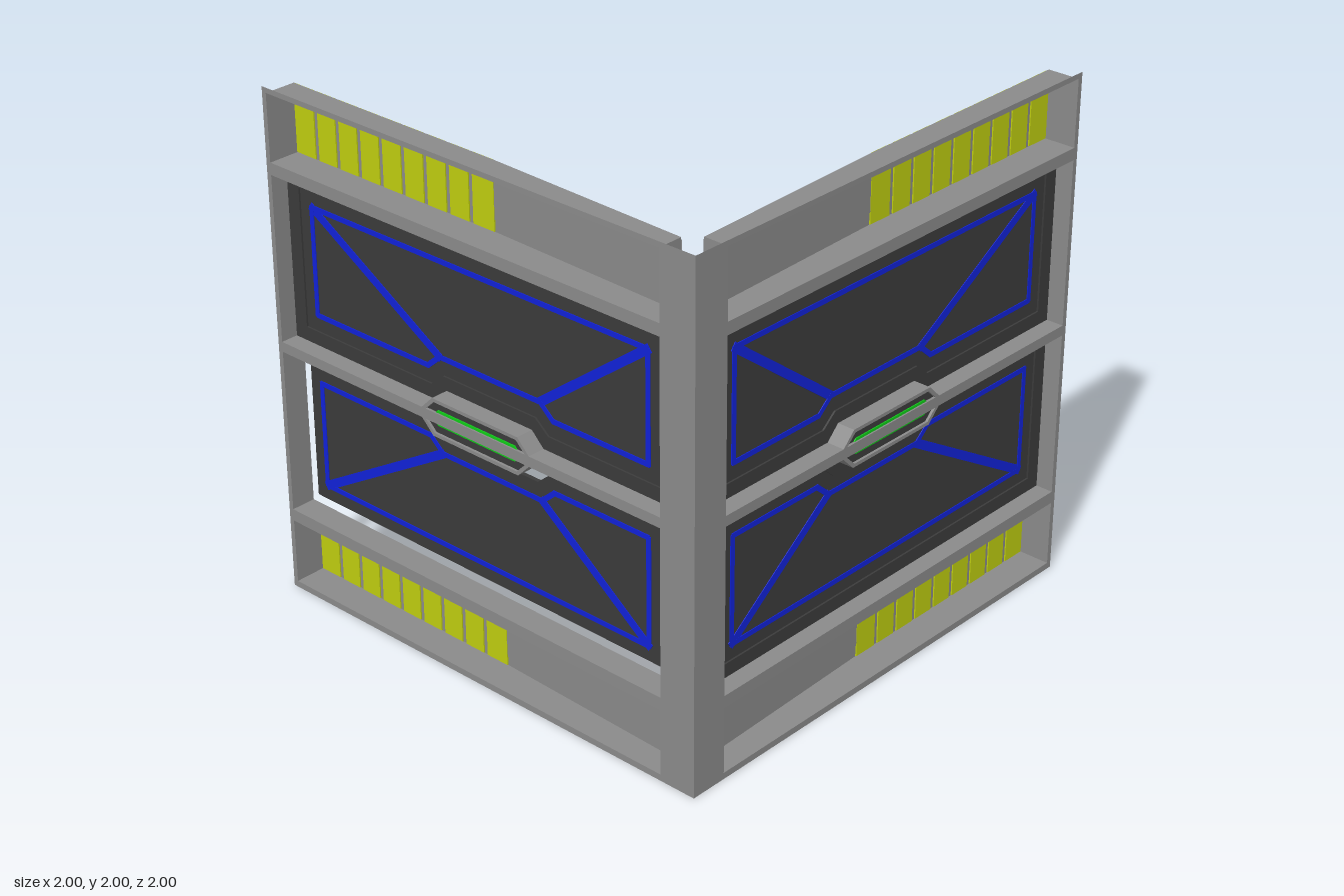
import * as THREE from 'three';

const mat = (name, color, side = THREE.FrontSide) => {
  const m = new THREE.MeshStandardMaterial({ color, side });
  m.name = name;
  return m;
};
const V = (pts) => pts.map(([x, y]) => new THREE.Vector2(x, y));
const rect = (x0, x1, y0, y1) => [[x0, y0], [x1, y0], [x1, y1], [x0, y1]];

// flat plate between two depths, with optional holes
function plate(outline, z0, z1, holes = []) {
  const shape = new THREE.Shape(V(outline));
  for (const h of holes) shape.holes.push(new THREE.Path(V(h)));
  const g = new THREE.ExtrudeGeometry(shape, { depth: z1 - z0, bevelEnabled: false });
  return g.translate(0, 0, z0);
}

// open sheet made of four-cornered faces
function quads(list) {
  const p = [];
  for (const [a, b, c, d] of list) p.push(...a, ...b, ...c, ...a, ...c, ...d);
  const g = new THREE.BufferGeometry();
  g.setAttribute('position', new THREE.Float32BufferAttribute(p, 3));
  g.computeVertexNormals();
  return g;
}

// straight bar of given width between two points
function bar(a, b, w, z0, z1) {
  const dx = b[0] - a[0], dy = b[1] - a[1], len = Math.hypot(dx, dy);
  const g = new THREE.BoxGeometry(len + w * 0.5, w, z1 - z0);
  g.rotateZ(Math.atan2(dy, dx));
  return g.translate((a[0] + b[0]) / 2, (a[1] + b[1]) / 2, (z0 + z1) / 2);
}

const octagon = (x, y, cx) => [
  [-x, 0], [-cx, -y], [cx, -y], [x, 0], [cx, y], [-cx, y]];
const rimShape = (x, y, cx, cy) => [
  [-x, -cy], [-cx, -y], [cx, -y], [x, -cy], [x, cy], [cx, y], [-cx, y], [-x, cy]];
const lift = (pts, dy) => pts.map(([x, y]) => [x, y + dy]);

const L = -0.85, R = 0.98, MID = 1.003;
const beams = [[0.025, 0.285], [1.72, 1.98]];
const panels = [[0.333, 0.983], [1.023, 1.673]];

export function createModel() {
  const grey = mat('grey metal', 0x8a8a8a, THREE.DoubleSide);
  const dark = mat('dark panel', 0x3b3b3b);
  const yellow = mat('yellow stripe', 0xbecd10);
  const blue = mat('blue line', 0x1122d8);
  const green = mat('green light', 0x10cc18);
  const model = new THREE.Group();

  function buildWall(name, turned) {
    const wall = new THREE.Group();
    wall.name = name;
    model.add(wall);

    // the second wall is the first one reflected over the corner diagonal
    const add = (part, geometry, material) => {
      let g = geometry;
      if (turned) {
        g = g.index ? g.toNonIndexed() : g;
        const p = g.attributes.position, c = p.clone();
        for (let i = 0; i < p.count; i++) {
          const j = i % 3 === 0 ? i : i % 3 === 1 ? i + 1 : i - 1;
          p.setXYZ(i, -c.getZ(j), c.getY(j), -c.getX(j));
        }
        g.computeVertexNormals();
      }
      const mesh = new THREE.Mesh(g, material);
      mesh.name = part;
      wall.add(mesh);
    };

    // outer skin with an opening for each bay
    const skin = new THREE.Shape(V(rect(-1, 1, 0, 2)));
    for (const [a, b] of [...beams, ...panels]) {
      skin.holes.push(new THREE.Path(V(rect(L, R, a, b))));
    }
    add('outerSkin', new THREE.ShapeGeometry(skin).translate(0, 0, 1), grey);

    // beam bays: sides and a back that slopes up to the striped half
    for (const [a, b] of beams) {
      const loop = [[L, a, 0.9], [0, a, 0.873], [R, a, 0.873], [R, b, 0.873], [0, b, 0.873], [L, b, 0.9]];
      const faces = loop.map((p, i) => {
        const q = loop[(i + 1) % 6];
        return [[p[0], p[1], 1], [q[0], q[1], 1], q, p];
      });
      faces.push([loop[0], loop[1], loop[4], loop[5]], [loop[1], loop[2], loop[3], loop[4]]);
      add('beamBay', quads(faces), grey);

      // shallow raised field on the sloping half
      const y0 = a < 1 ? a + 0.01 : a + 0.045, y1 = a < 1 ? b - 0.215 : b - 0.01;
      const lo = a < 1 ? a + 0.045 : y0, hi = a < 1 ? b - 0.01 : y1;
      for (const s of [-0.003, 0.003]) {
        add('beamField', quads([[[L, lo, 0.9 + s], [0, lo, 0.873 + s], [0, hi, 0.873 + s], [L, hi, 0.9 + s]]]), grey);
      }

      // warning stripes, showing on both faces
      for (let i = 0; i < 9; i++) {
        const x0 = i === 0 ? 0 : 0.01 + i * 0.1088;
        const x1 = i === 8 ? R - 0.002 : 0.1 + i * 0.1088;
        add('stripe', plate(rect(x0, x1, a + 0.002, b - 0.002), 0.869, 0.878), yellow);
      }
    }

    // panel bays
    panels.forEach(([a, b], k) => {
      const loop = rect(L, R, a, b);
      add('panelBay', quads(loop.map((p, i) => {
        const q = loop[(i + 1) % 4];
        return [[...p, 1], [...q, 1], [...q, 0.9], [...p, 0.9]];
      })), grey);

      // upper panel outlines are flipped for the lower one
      const f = (pts) => (k ? pts : pts.map(([x, y]) => [x, 2 * MID - y]));
      const inner = f([[-0.79, 1.077], [-0.28, 1.077], [-0.22, 1.127], [0.22, 1.127],
        [0.28, 1.077], [0.922, 1.077], [0.922, 1.619], [-0.79, 1.619]]);
      if (!(turned && k === 0)) {
        add('panelFrame', plate(loop, 0.9, 0.93, [inner]), dark);
      }
      add('panelPlate', plate(inner, 0.907, 0.923), dark);

      // blue line work on both faces
      const line = f([[-0.73, 1.14], [-0.3, 1.14], [-0.24, 1.192], [0.24, 1.192],
        [0.3, 1.14], [0.865, 1.14], [0.865, 1.56], [-0.73, 1.56]]);
      line.forEach((p, i) => add('blueLine', bar(p, line[(i + 1) % 8], 0.02, 0.904, 0.926), blue));
      add('blueDiagonal', bar(line[7], line[2], 0.034, 0.9045, 0.9255), blue);
      add('blueDiagonal', bar(line[6], line[3], 0.034, 0.9045, 0.9255), blue);
    });

    // central light in its eight-sided housing
    const outer = lift(rimShape(0.26, 0.073, 0.205, 0.018), MID);
    const opening = lift(rimShape(0.245, 0.06, 0.198, 0.014), MID);
    add('lightRim', plate(outer, 0.9, 1.0, [opening]), grey);
    add('lightBed', plate(opening, 0.91, 0.99), dark);
    add('light', plate(lift(octagon(0.215, 0.03, 0.185), MID), 0.906, 0.994), green);
  }

  buildWall('frontWall', false);
  buildWall('sideWall', true);
  return model;
}
